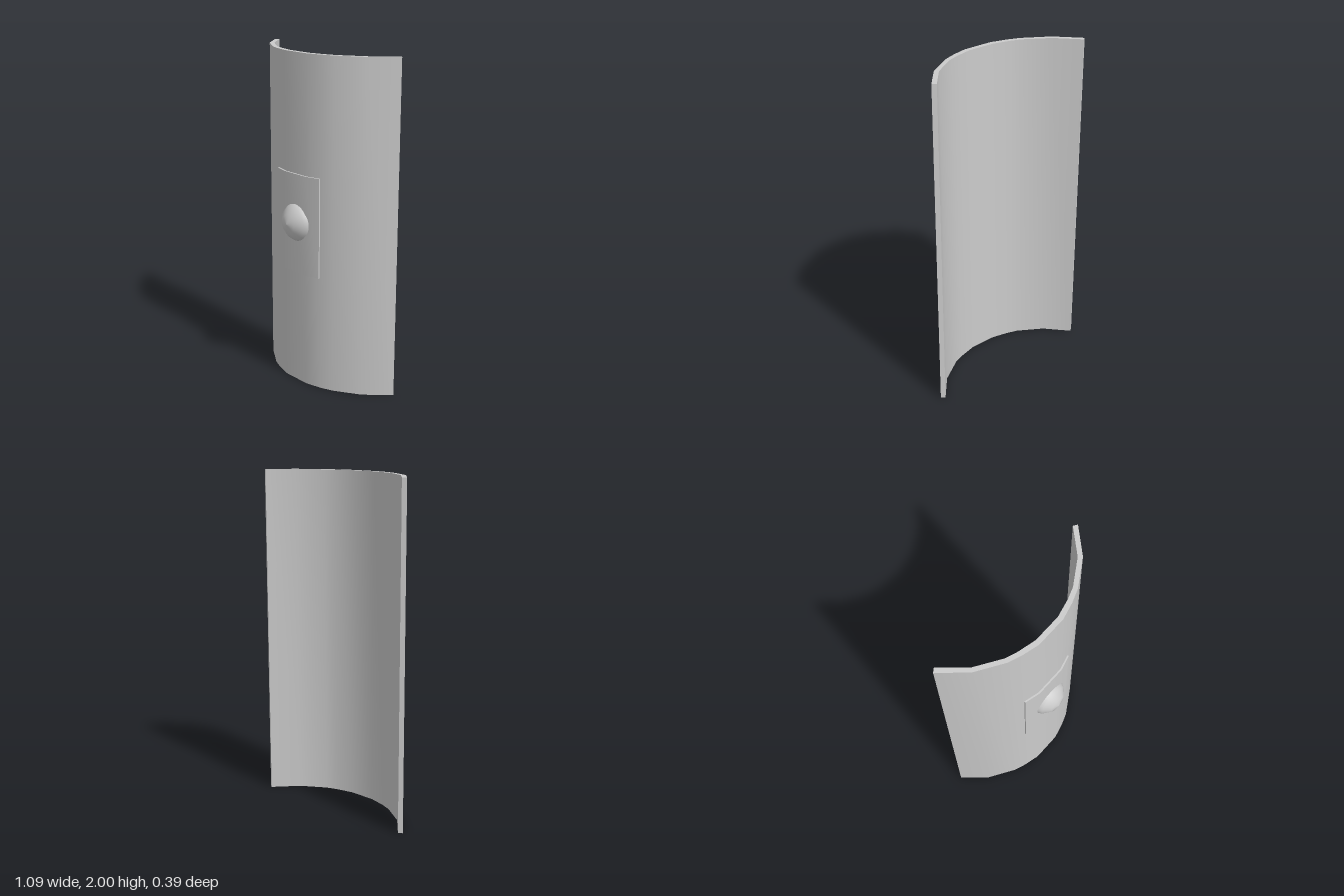
import * as THREE from 'three';
import { toCreasedNormals } from 'three/addons/utils/BufferGeometryUtils.js';

const material = new THREE.MeshStandardMaterial({ color: 0xcccccc });

// Mirrors a half profile of [x, z] points (edge to middle) into a full curve
const mirror = half => [...half, ...half.map(([x, z]) => [-x, z]).reverse()];

// Upright curved sheet between an outer and an inner half profile
function curvedSheet(name, outer, inner, bottom, height) {
  const outline = [...mirror(outer), ...mirror(inner).reverse()];
  const shape = new THREE.Shape(outline.map(([x, z]) => new THREE.Vector2(x, -z)));
  const extruded = new THREE.ExtrudeGeometry(shape, { depth: height, bevelEnabled: false });
  extruded.rotateX(-Math.PI / 2).translate(0, bottom, 0);
  const mesh = new THREE.Mesh(toCreasedNormals(extruded, THREE.MathUtils.degToRad(40)), material);
  mesh.name = name;
  return mesh;
}

export function createModel() {
  const group = new THREE.Group();
  group.name = 'curvedShield';

  // Tall curved board, open towards the back
  const boardFront = [[-0.547, -0.18], [-0.422, -0.04], [-0.267, 0.058], [-0.19, 0.087], [-0.092, 0.112]];
  const boardBack = [[-0.524, -0.196], [-0.404, 0.06 * -1], [-0.258, 0.033], [-0.188, 0.058], [-0.083, 0.083]];
  group.add(curvedSheet('board', boardFront, boardBack, 0, 2));

  // Thin plate that follows the board's curve
  const plateFront = [[-0.187, 0.097], [-0.094, 0.122]];
  const plateBack = [[-0.185, 0.085], [-0.09, 0.105]];
  group.add(curvedSheet('centrePlate', plateFront, plateBack, 0.7, 0.6));

  // Domed boss, turned about the forward axis
  const domeProfile = [[0.115, 0.095], [0.114, 0.117], [0.098, 0.142], [0.0555, 0.178], [0, 0.19]];
  const domeGeometry = new THREE.LatheGeometry(domeProfile.map(([r, z]) => new THREE.Vector2(r, z)), 32);
  domeGeometry.rotateX(Math.PI / 2);
  const boss = new THREE.Mesh(domeGeometry, material);
  boss.name = 'boss';
  boss.position.set(0.005, 1.007, 0);
  group.add(boss);

  return group;
}
